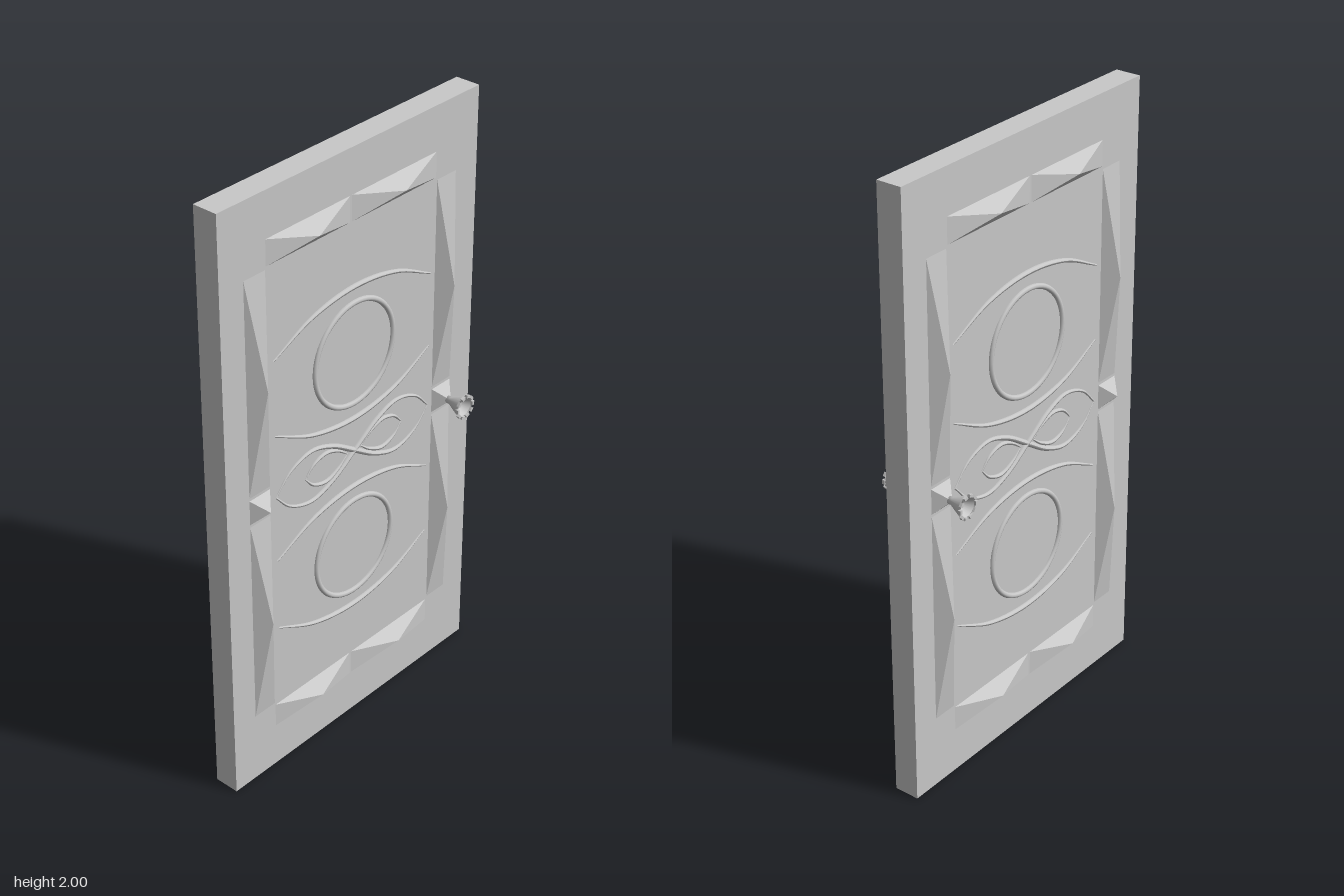
import * as THREE from 'three';

const HALF = 0.042; // half thickness of the slab

export function createModel() {
  const model = new THREE.Group();
  model.name = 'door';
  const grey = new THREE.MeshStandardMaterial({ color: 0xc8c8c8 });
  grey.name = 'door grey';

  function addMesh(name, geo) {
    const mesh = new THREE.Mesh(geo, grey);
    mesh.name = name;
    model.add(mesh);
  }

  // Adds a part on the front and its mirror image on the back
  function addBothSides(name, geo) {
    const front = geo.index ? geo.toNonIndexed() : geo;
    addMesh(name + 'Front', front);
    const back = front.clone();
    for (const key of ['position', 'normal']) {
      const src = front.attributes[key], dst = back.attributes[key];
      for (let i = 0; i < src.count; i++) {
        const j = i % 3 === 1 ? i + 1 : i % 3 === 2 ? i - 1 : i;
        dst.setXYZ(i, src.getX(j), src.getY(j), -src.getZ(j));
      }
    }
    addMesh(name + 'Back', back);
  }

  // Four-sided stud with a rectangular foot
  function stud(x0, x1, y0, y1) {
    const z = HALF - 0.001;
    const c = [[x0, y0, z], [x1, y0, z], [x1, y1, z], [x0, y1, z]];
    const tip = [(x0 + x1) / 2, (y0 + y1) / 2, 0.085];
    const pos = [];
    for (let i = 0; i < 4; i++) pos.push(...c[i], ...c[(i + 1) % 4], ...tip);
    const geo = new THREE.BufferGeometry();
    geo.setAttribute('position', new THREE.Float32BufferAttribute(pos, 3));
    geo.computeVertexNormals();
    return geo;
  }

  // Round moulding along a curve, thinning toward both ends
  function taperedLine(points, radius) {
    const curve = new THREE.CatmullRomCurve3(points.map(([x, y]) => new THREE.Vector3(x, y, HALF)));
    const steps = 48, sides = 8;
    const geo = new THREE.TubeGeometry(curve, steps, radius, sides);
    const p = geo.attributes.position, v = new THREE.Vector3();
    for (let i = 0; i <= steps; i++) {
      const centre = curve.getPointAt(i / steps);
      const k = 0.3 + 0.7 * Math.sin(Math.PI * i / steps);
      for (let j = 0; j <= sides; j++) {
        const n = i * (sides + 1) + j;
        v.fromBufferAttribute(p, n).sub(centre).multiplyScalar(k).add(centre);
        p.setXYZ(n, v.x, v.y, v.z);
      }
    }
    geo.computeVertexNormals();
    return geo;
  }

  // Slab
  const slab = new THREE.BoxGeometry(1.084, 2, HALF * 2);
  slab.translate(0, 1, 0);
  addMesh('slab', slab);

  // Faceted border: two long studs on each edge and a small one at mid height
  for (const [y0, y1] of [[0.15, 0.235], [1.77, 1.855]]) {
    addBothSides('railStud', stud(-0.365, -0.015, y0, y1));
    addBothSides('railStud', stud(-0.015, 0.36, y0, y1));
  }
  for (const [x0, x1] of [[-0.45, -0.363], [0.36, 0.447]]) {
    addBothSides('stileStud', stud(x0, x1, 0.235, 0.96));
    addBothSides('middleStud', stud(x0, x1, 0.96, 1.045));
    addBothSides('stileStud', stud(x0, x1, 1.045, 1.77));
  }

  // Circles, each between two curved lines
  for (const y of [0.648, 1.337]) {
    const ring = new THREE.TorusGeometry(0.17, 0.009, 8, 64);
    ring.translate(0, y, HALF);
    addBothSides('ring', ring);
    for (const s of [-1, 1]) {
      const arc = [[-0.34, 0.125], [-0.18, 0.197], [0, 0.223], [0.18, 0.197], [0.34, 0.125]];
      addBothSides('archLine', taperedLine(arc.map(([x, d]) => [x, y + s * d]), 0.009));
    }
  }

  // Crossed ribbon in the middle with a smaller leaf in each loop
  for (const s of [-1, 1]) {
    const wave = [[-0.34, 0], [-0.28, 0.06], [-0.19, 0.088], [-0.1, 0.062], [0, 0],
      [0.1, -0.062], [0.19, -0.088], [0.28, -0.06], [0.34, 0]];
    addBothSides('ribbon', taperedLine(wave.map(([x, d]) => [x, 1 + s * d]), 0.009));
    for (const side of [-1, 1]) {
      const leaf = [[0.215, 0], [0.18, 0.035], [0.125, 0.05], [0.07, 0.03], [0.03, 0.0]];
      addBothSides('leaf', taperedLine(leaf.map(([x, d]) => [x * side, 1 + s * d]), 0.007));
    }
  }

  // Flared cup-shaped knob
  const profile = [[0, 0.07], [0.012, 0.07], [0.012, 0.085], [0.038, 0.139], [0.03, 0.139], [0.008, 0.095], [0, 0.095]];
  const knob = new THREE.LatheGeometry(profile.map(([r, z]) => new THREE.Vector2(r, z)), 24);
  knob.rotateX(Math.PI / 2);
  knob.translate(0.403, 1.002, 0);
  addBothSides('knob', knob);

  // Notched rim of the knob
  const teeth = 10;
  for (let i = 0; i < teeth; i++) {
    const tooth = new THREE.BoxGeometry(0.009, 0.014, 0.009);
    tooth.translate(0.0355, 0, 0.1415);
    tooth.rotateZ(i / teeth * Math.PI * 2);
    tooth.translate(0.403, 1.002, 0);
    addBothSides('knobTooth', tooth);
  }

  return model;
}
